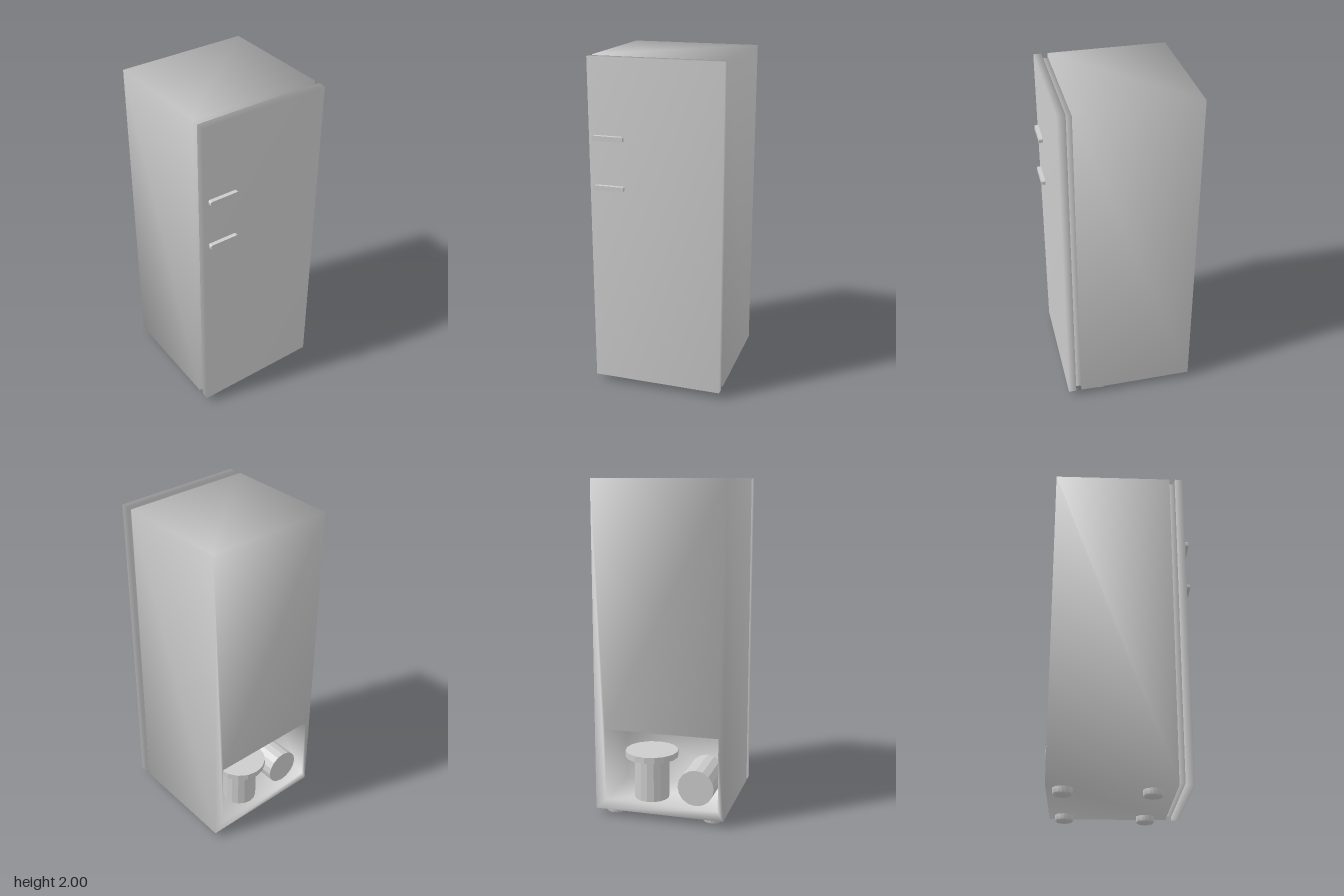
import * as THREE from 'three';
import { mergeVertices, toCreasedNormals } from 'three/addons/utils/BufferGeometryUtils.js';

// Weld all corners so the shading flows softly over the edges
function soften(geometry) {
  geometry.deleteAttribute('normal');
  geometry.deleteAttribute('uv');
  const welded = mergeVertices(geometry, 1e-4);
  welded.computeVertexNormals();
  return welded;
}

// Softly shaded box given by its limits
function softBox([x0, x1], [y0, y1], [z0, z1]) {
  const g = new THREE.BoxGeometry(x1 - x0, y1 - y0, z1 - z0);
  g.translate((x0 + x1) / 2, (y0 + y1) / 2, (z0 + z1) / 2);
  return soften(g);
}

// Cabinet shell with a machine bay sunk into the back
function cabinetGeometry() {
  const corners = (x0, x1, y0, y1, z) => [[x0, y0, z], [x1, y0, z], [x1, y1, z], [x0, y1, z]];
  const rings = [
    corners(-0.393, 0.393, 0.04, 2, 0.31),      // front
    corners(-0.393, 0.393, 0.04, 2, -0.395),    // back rim
    corners(-0.36, 0.33, 0.10, 0.54, -0.395),   // bay mouth
    corners(-0.36, 0.33, 0.10, 0.54, 0.0),      // bay end
  ];
  const index = [0, 1, 2, 0, 2, 3, 12, 14, 13, 12, 15, 14];
  // The end of the bay faces backwards, the front faces forwards
  for (let r = 0; r < 3; r++) {
    for (let i = 0; i < 4; i++) {
      const a = r * 4 + i, b = r * 4 + (i + 1) % 4;
      index.push(a, a + 4, b, b, a + 4, b + 4);
    }
  }
  const g = new THREE.BufferGeometry();
  g.setAttribute('position', new THREE.Float32BufferAttribute(rings.flat(2), 3));
  g.setIndex(index);
  g.computeVertexNormals();
  return g;
}

// Cylinder with flat facets
function facetedCylinder(radius, height, sides) {
  const g = new THREE.CylinderGeometry(radius, radius, height, sides).toNonIndexed();
  g.computeVertexNormals();
  return g;
}

// Bar handle with bevelled outer corners
function handleGeometry() {
  const w = 0.09, h = 0.0145, c = 0.006;
  const s = new THREE.Shape([
    [-w + c, -h], [w - c, -h], [w, -h + c], [w, h - c],
    [w - c, h], [-w + c, h], [-w, h - c], [-w, -h + c],
  ].map(([x, y]) => new THREE.Vector2(x, y)));
  return new THREE.ExtrudeGeometry(s, { depth: 0.025, bevelEnabled: false });
}

export function createModel() {
  const model = new THREE.Group();
  model.name = 'refrigerator';
  const grey = new THREE.MeshStandardMaterial({ color: 0xcccccc });
  grey.name = 'light grey';

  const add = (name, geometry, x = 0, y = 0, z = 0) => {
    const mesh = new THREE.Mesh(geometry, grey);
    mesh.name = name;
    mesh.position.set(x, y, z);
    model.add(mesh);
    return mesh;
  };

  // Cabinet, seal and door
  add('cabinet', cabinetGeometry());
  add('doorSeal', softBox([-0.372, 0.372], [0.057, 1.98], [0.305, 0.348]));
  add('door', softBox([-0.393, 0.393], [0.04, 2], [0.345, 0.392]));

  // Handles
  for (const [name, y] of [['upperHandle', 1.547], ['lowerHandle', 1.257]]) {
    add(name, handleGeometry(), -0.273, y, 0.391);
  }

  // Compressor standing in the bay
  add('compressorBody', facetedCylinder(0.105, 0.265, 16), 0.08, 0.2275, -0.26);
  add('compressorCap', facetedCylinder(0.16, 0.037, 16), 0.08, 0.3765, -0.26);

  // Tank lying beside it
  const tank = add('tank', facetedCylinder(0.11, 0.3, 16), -0.215, 0.21, -0.2);
  tank.rotation.x = Math.PI / 2;

  // Feet
  const foot = toCreasedNormals(new THREE.LatheGeometry(
    [[0, 0], [0.046, 0], [0.055, 0.008], [0.055, 0.045]].map(([x, y]) => new THREE.Vector2(x, y)), 16), 0.9);
  const feet = [
    ['frontLeftFoot', 0.315, 0.18], ['frontRightFoot', -0.29, 0.18],
    ['backLeftFoot', 0.295, -0.305], ['backRightFoot', -0.31, -0.305],
  ];
  for (const [name, x, z] of feet) add(name, foot, x, 0, z);

  return model;
}
